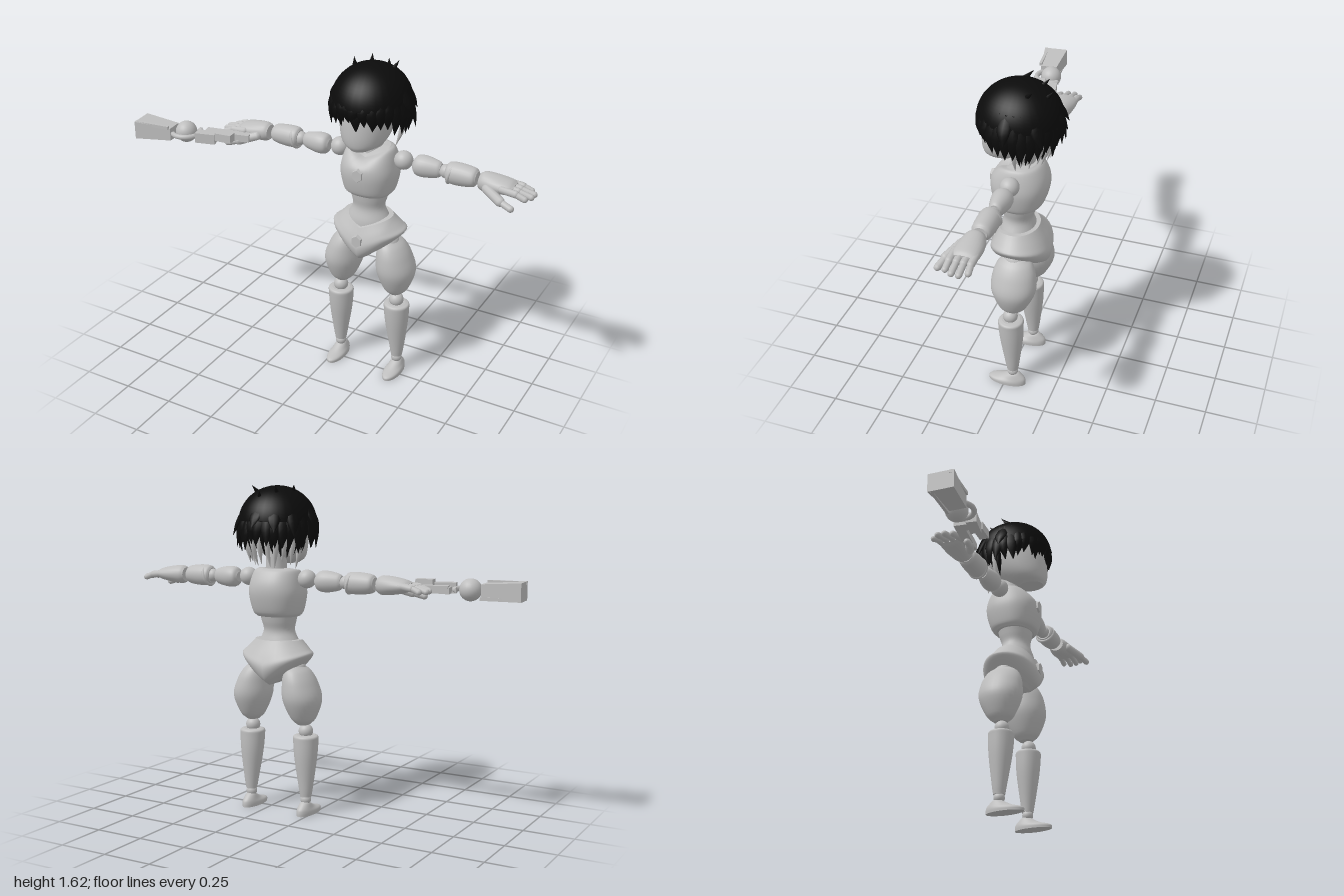
import * as THREE from 'three';
import { mergeGeometries } from 'three/addons/utils/BufferGeometryUtils.js';

const BODY_X = 0.187;
const grey = new THREE.MeshStandardMaterial({ color: 0xbebebe });
grey.name = 'body grey';
const black = new THREE.MeshStandardMaterial({ color: 0x0b0b0b });
black.name = 'hair black';

// Smooth closed loft through rings [y, halfX, halfZ, centreX, centreZ], y ascending
function loft(rings, n = 28, steps = 5, square = 1) {
  const curve = f => new THREE.CatmullRomCurve3(rings.map(f), false, 'catmullrom', 0.5);
  const size = curve(r => new THREE.Vector3(r[0], r[1], r[2]));
  const centre = curve(r => new THREE.Vector3(r[3] || 0, r[4] || 0, 0));
  const rows = (rings.length - 1) * steps;
  const pos = [], idx = [];
  const ring = t => {
    const s = size.getPoint(t), c = centre.getPoint(t);
    for (let j = 0; j < n; j++) {
      const a = j / n * Math.PI * 2, sx = Math.sin(a), cz = Math.cos(a);
      pos.push(c.x + Math.max(s.y, 5e-4) * Math.sign(sx) * Math.abs(sx) ** square, s.x,
        c.y + Math.max(s.z, 5e-4) * Math.sign(cz) * Math.abs(cz) ** square);
    }
    return [c.x, s.x, c.y];
  };
  for (let i = 0; i <= rows; i++) ring(i / rows);
  for (let i = 0; i < rows; i++) for (let j = 0; j < n; j++) {
    const a = i * n + j, b = i * n + (j + 1) % n;
    idx.push(a, b, b + n, a, b + n, a + n);
  }
  // end caps with their own vertices, so the rims stay sharp
  for (const t of [0, 1]) {
    const start = pos.length / 3;
    pos.push(...ring(t));
    for (let j = 0; j < n; j++) {
      const a = start + j, b = start + (j + 1) % n;
      idx.push(start + n, ...(t ? [a, b] : [b, a]));
    }
  }
  const g = new THREE.BufferGeometry();
  g.setAttribute('position', new THREE.Float32BufferAttribute(pos, 3));
  g.setIndex(idx);
  g.computeVertexNormals();
  return g;
}

function warp(g, rule) {
  const p = g.attributes.position, v = new THREE.Vector3();
  for (let i = 0; i < p.count; i++) {
    rule(v.fromBufferAttribute(p, i));
    p.setXYZ(i, v.x, v.y, v.z);
  }
  g.computeVertexNormals();
  return g;
}

function mirrored(g) {
  const m = g.clone().scale(-1, 1, 1), ix = m.index.array;
  for (let i = 0; i < ix.length; i += 3) [ix[i], ix[i + 1]] = [ix[i + 1], ix[i]];
  m.computeVertexNormals();
  return m;
}

function flat(g) {
  const f = g.toNonIndexed();
  f.computeVertexNormals();
  return f;
}

const ball = (r, x, y, z) => new THREE.SphereGeometry(r, 24, 16).translate(x, y, z);

// Loft laid along the arm: rings [distance, halfHeight, halfDepth]
const arm = rings => loft(rings, 24).rotateZ(-Math.PI / 2).translate(0, 1.165, -0.035);

// Rounded rod between two points
function rod(a, b, r) {
  const A = new THREE.Vector3(...a), d = new THREE.Vector3(...b).sub(A), len = d.length();
  const q = new THREE.Quaternion().setFromUnitVectors(new THREE.Vector3(0, 1, 0), d.clone().normalize());
  return new THREE.CapsuleGeometry(r, len, 5, 10).applyQuaternion(q)
    .translate(A.x + d.x / 2, A.y + d.y / 2, A.z + d.z / 2);
}

export function createModel() {
  const model = new THREE.Group();
  model.name = 'jointedFigure';
  const body = new THREE.Group();
  body.name = 'figure';
  body.position.x = BODY_X;
  model.add(body);
  const add = (name, geo, mat = grey, parent = body) => {
    const m = new THREE.Mesh(geo, mat);
    m.name = name;
    parent.add(m);
    return m;
  };
  const pair = (name, geo) => {
    add('left' + name, geo);
    add('right' + name, mirrored(geo));
  };

  // Head and neck
  add('head', loft([[1.24, 0.05, 0.065, 0, 0.065], [1.268, 0.095, 0.1, 0, 0.045], [1.33, 0.122, 0.135, 0, 0.015],
    [1.43, 0.135, 0.15, 0, -0.01], [1.53, 0.12, 0.13, 0, -0.02], [1.585, 0.05, 0.06, 0, -0.02]]));
  add('neck', loft([[1.14, 0.065, 0.065, 0, -0.045], [1.21, 0.052, 0.055, 0, -0.045], [1.32, 0.05, 0.055, 0, -0.045]]));

  // Torso
  add('chest', warp(loft([[0.985, 0.105, 0.09, 0, -0.025], [1.01, 0.122, 0.115, 0, -0.027], [1.09, 0.137, 0.135, 0, -0.03],
    [1.15, 0.13, 0.13, 0, -0.032], [1.205, 0.112, 0.1, 0, -0.035], [1.22, 0.09, 0.07, 0, -0.04]], 36, 5, 0.85), v => {
    if (v.z > -0.03 && v.y > 1.13) v.y -= 0.5 * (v.y - 1.13) * Math.max(0, 1 - Math.abs(v.x) / 0.1);
  }));
  add('waist', loft([[0.79, 0.12, 0.09, 0, -0.02], [0.85, 0.108, 0.086, 0, -0.02], [0.91, 0.08, 0.07, 0, -0.02],
    [0.96, 0.088, 0.08, 0, -0.023], [1.01, 0.1, 0.09, 0, -0.025]]));
  add('pelvis', warp(loft([[0.65, 0.06, 0.085, 0, -0.03], [0.68, 0.14, 0.128, 0, -0.033], [0.735, 0.185, 0.145, 0, -0.035],
    [0.79, 0.165, 0.132, 0, -0.03], [0.87, 0.122, 0.098, 0, -0.022]], 36), v => {
    const t = (0.87 - v.y) / 0.22, side = Math.abs(v.x);
    v.y += t * 0.1 * side / 0.17 - (v.z > 0 ? (1 - t) * 0.045 * Math.max(0, 1 - side / 0.12) : 0);
  }));
  const badge = () => flat(new THREE.CylinderGeometry(0.026, 0.03, 0.016, 6).rotateX(Math.PI / 2).scale(1, 1.15, 1));
  add('chestBadge', badge().translate(0, 1.11, 0.105));
  add('pelvisBadge', badge().translate(0, 0.765, 0.105));

  // Legs
  pair('HipJoint', ball(0.06, 0.095, 0.72, -0.035));
  pair('Thigh', loft([[0.455, 0.03, 0.035, 0.147, -0.035], [0.49, 0.062, 0.07, 0.147, -0.037], [0.58, 0.094, 0.108, 0.143, -0.04],
    [0.66, 0.083, 0.105, 0.13, -0.04], [0.715, 0.064, 0.085, 0.116, -0.04], [0.745, 0.04, 0.055, 0.105, -0.04]]));
  pair('Knee', ball(0.036, 0.155, 0.42, -0.027));
  pair('Shin', loft([[0.09, 0.028, 0.028, 0.16, -0.038], [0.14, 0.036, 0.036, 0.16, -0.037], [0.28, 0.056, 0.056, 0.157, -0.033],
    [0.37, 0.063, 0.062, 0.156, -0.03], [0.395, 0.062, 0.06, 0.156, -0.03], [0.402, 0.045, 0.045, 0.156, -0.03]]));
  pair('Ankle', ball(0.027, 0.16, 0.075, -0.038));
  pair('Foot', loft([[0, 0.042, 0.096, 0.16, -0.009], [0.018, 0.042, 0.094, 0.16, -0.011], [0.035, 0.034, 0.064, 0.16, -0.035],
    [0.058, 0.024, 0.03, 0.16, -0.045], [0.066, 0.014, 0.018, 0.16, -0.045]]));

  // Arms
  pair('Shoulder', ball(0.045, 0.167, 1.172, -0.035));
  pair('UpperArm', arm([[0.222, 0.025, 0.028], [0.24, 0.047, 0.046], [0.28, 0.052, 0.048], [0.34, 0.041, 0.034], [0.358, 0.03, 0.025]]));
  pair('Elbow', ball(0.033, 0.382, 1.165, -0.035));
  pair('Forearm', arm([[0.388, 0.038, 0.038], [0.402, 0.05, 0.049], [0.45, 0.053, 0.051], [0.515, 0.045, 0.046], [0.534, 0.03, 0.032]]));
  pair('ForearmCuff', new THREE.TorusGeometry(0.046, 0.009, 8, 24).rotateY(Math.PI / 2).rotateZ(-0.25).translate(0.41, 1.163, -0.035));
  const wrist = arm([[0.552, 0.036, 0.04], [0.575, 0.046, 0.05], [0.63, 0.042, 0.06], [0.69, 0.03, 0.06], [0.715, 0.016, 0.052]]);
  pair('Palm', wrist.translate(0, -0.003, 0.005));
  [[-0.073, 0.775], [-0.042, 0.798], [-0.01, 0.796], [0.022, 0.778]].forEach(([z, end], i) => {
    pair('Finger' + (i + 1), mergeGeometries([
      rod([0.67, 1.165, z], [0.735, 1.158, z], 0.017), rod([0.735, 1.158, z], [end, 1.143, z * 1.05], 0.0145)]));
  });
  pair('Thumb', mergeGeometries([
    rod([0.6, 1.152, 0.02], [0.68, 1.125, 0.06], 0.022), rod([0.68, 1.125, 0.06], [0.735, 1.11, 0.075], 0.016)]));

  // Hair: a cap with layers of tapered locks
  const hair = new THREE.Group();
  hair.name = 'hair';
  hair.position.set(0, 0, -0.03);
  body.add(hair);
  let seed = 7;
  const rnd = () => (seed = (seed * 16807) % 2147483647) / 2147483647;
  const lock = (angle, tipY, tipR, width, topY = 1.54, topR = 0.12, midR = 0.178) => loft([
    [tipY, 0.001, 0.001, 0.02 * (rnd() - 0.5), tipR],
    [tipY * 0.55 + topY * 0.45, width, 0.014, 0, midR],
    [topY, width * 0.7, 0.012, 0, topR]], 8, 4).rotateY(angle);
  const cap = new THREE.SphereGeometry(0.188, 32, 16, 0, Math.PI * 2, 0, 1.5).scale(1, 0.96, 1.06).translate(0, 1.437, 0);
  const capMat = black;
  add('hairCap', cap, capMat, hair);
  add('hairCapUnderside', loft([[1.43, 0.15, 0.16], [1.452, 0.186, 0.198]], 32, 1), black, hair);
  const locks = [];
  for (let i = 0; i < 30; i++) {
    const a = (i + 0.3 * rnd()) / 30 * Math.PI * 2, front = Math.cos(a), side = Math.abs(Math.sin(a));
    const tip = (front > 0 ? 1.41 - 0.06 * side : 1.36 - 0.03 * side) - 0.04 * rnd();
    locks.push(lock(a, tip, 0.172 + (front < 0 ? 0.035 : 0.015) * rnd(), 0.03, 1.53, 0.15, 0.187));
  }
  locks.push(lock(0.05, 1.34, 0.175, 0.032), lock(-0.5, 1.35, 0.17, 0.03), lock(0.55, 1.35, 0.17, 0.03));
  // outward flicks round the sides and back
  for (const [a, y, r] of [[1.5, 1.4, 0.215], [-1.5, 1.4, 0.212], [2.3, 1.38, 0.22], [3.1, 1.42, 0.222], [3.6, 1.4, 0.22], [-2.2, 1.38, 0.215]])
    locks.push(lock(a, y, r, 0.032, 1.54, 0.14, 0.188));
  add('hairLocks', mergeGeometries(locks), black, hair);
  // small tufts on the crown
  const tufts = [[0.02, -0.13, 0.5], [-0.05, -0.09, 0.3], [0.08, -0.06, -0.4], [-0.09, 0.0, 0.6]].map(([x, z, tilt]) =>
    new THREE.ConeGeometry(0.022, 0.08, 6).rotateX(-0.7).rotateZ(tilt)
      .translate(x, 1.437 + 0.18 * Math.sqrt(1 - (x * x + z * z) / 0.0353), z));
  add('hairTufts', mergeGeometries(tufts), black, hair);
  // thin strands over the nape, alternating pale and dark
  const nape = [[], []];
  for (let i = 0; i < 22; i++) {
    const a = Math.PI + (i / 21 - 0.5) * 2.9;
    nape[i % 2].push(lock(a, 1.22 + (i % 2) * 0.04 + 0.04 * rnd(), 0.115 + 0.02 * rnd(), 0.014, 1.44, 0.16, 0.15));
  }
  add('paleNapeStrands', mergeGeometries(nape[0]), grey, hair);
  add('darkNapeStrands', mergeGeometries(nape[1]), black, hair);

  // Hand-held device by the right hand
  const device = new THREE.Group();
  device.name = 'heldDevice';
  model.add(device);
  const box = (w, h, d, x, y, z, turn = 0) => new THREE.BoxGeometry(w, h, d).rotateY(turn).translate(x, y, z);
  const barrel = flat(new THREE.CylinderGeometry(0.066, 0.046, 0.19, 4, 1).rotateY(Math.PI / 4)
    .rotateZ(Math.PI / 2).scale(1, 0.95, 1.3).rotateY(0.1).translate(-0.9, 1.143, 0.17));
  add('deviceBarrel', barrel, grey, device);
  for (const s of [-1, 1])
    add('barrelRail', box(0.185, 0.016, 0.014, -0.9, 1.143 + s * 0.036, 0.17 + s * 0.045, 0.1).rotateZ(0), grey, device);
  add('deviceBall', ball(0.053, -0.755, 1.145, 0.13), grey, device);
  add('deviceCradle', new THREE.TorusGeometry(0.07, 0.013, 8, 24, Math.PI).rotateX(Math.PI / 2).rotateY(0.9)
    .translate(-0.75, 1.145, 0.135), grey, device);
  add('deviceGrip', box(0.23, 0.035, 0.045, -0.55, 1.145, 0.068, 0.2), grey, device);
  add('deviceRearBlock', box(0.1, 0.05, 0.05, -0.625, 1.148, 0.147, 0.25), grey, device);
  add('deviceFrontBlock', box(0.085, 0.04, 0.045, -0.525, 1.165, 0.135, 0.1), grey, device);
  add('deviceLink', box(0.05, 0.03, 0.09, -0.64, 1.14, 0.11, 0.2), grey, device);
  return model;
}
